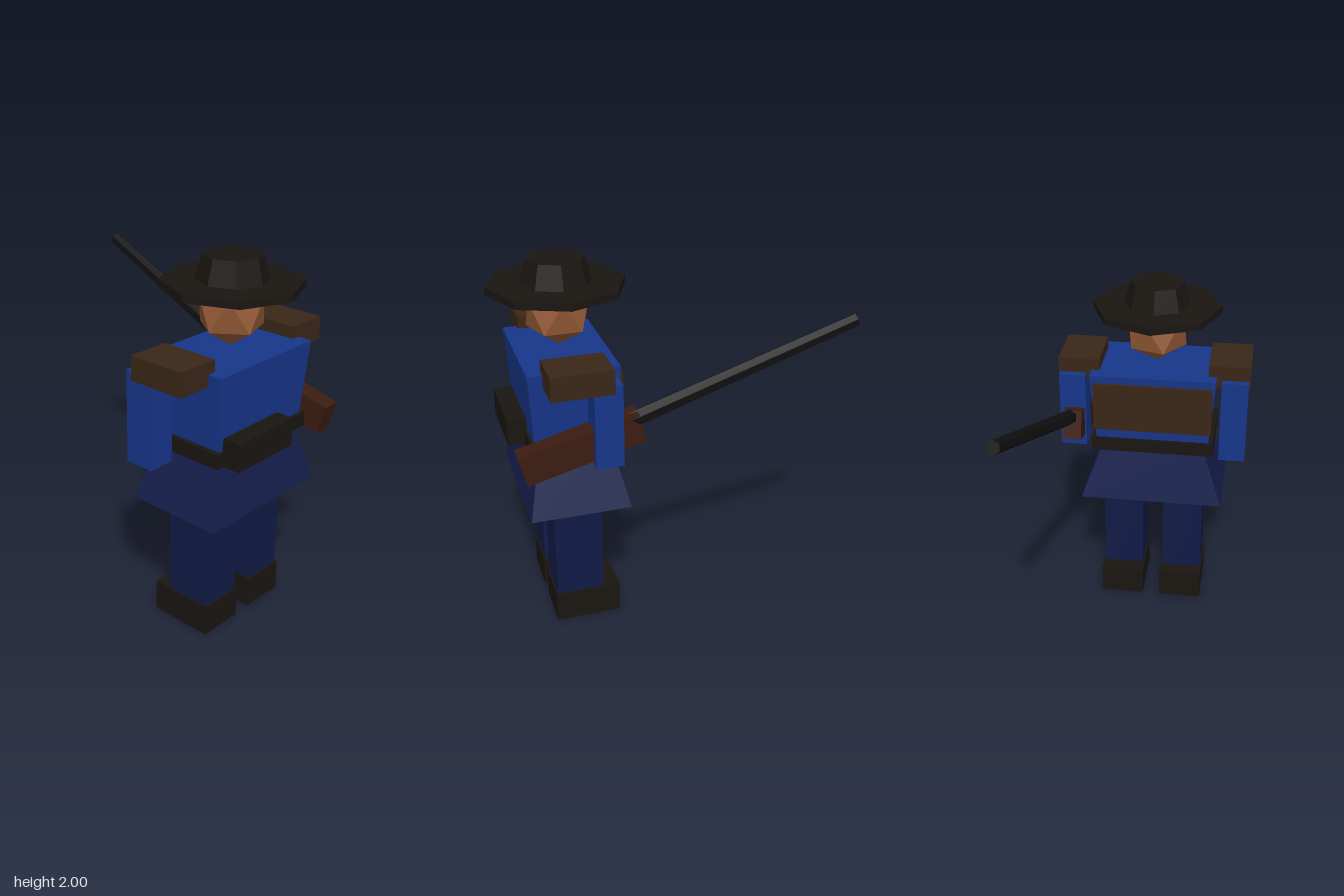
import * as THREE from 'three';

const CX = -0.035, CZ = 0.53; // body axis

const mat = (color) => new THREE.MeshStandardMaterial({ color, flatShading: true });
const coat = mat(0x17368a), skirtCloth = mat(0x151e4c), trousers = mat(0x111b46);
const leather = mat(0x1a1511), brown = mat(0x3a2617), wood = mat(0x3c1c11);
const iron = mat(0x101010), skin = mat(0x955b37);

export function createModel() {
  const model = new THREE.Group();
  model.name = 'hatSoldier';

  const add = (name, geometry, material, x, y, z) => {
    const mesh = new THREE.Mesh(geometry, material);
    mesh.name = name;
    mesh.position.set(x, y, z);
    model.add(mesh);
    return mesh;
  };

  // Box given by its limits on each axis
  const block = (name, material, [x0, x1], [y0, y1], [z0, z1]) =>
    add(name, new THREE.BoxGeometry(x1 - x0, y1 - y0, z1 - z0), material,
      (x0 + x1) / 2, (y0 + y1) / 2, (z0 + z1) / 2);

  // Box on the body axis whose top and bottom have different half sizes
  const tapered = (name, material, y0, y1, [bx, bz], [tx, tz]) => {
    const g = new THREE.BoxGeometry(2, y1 - y0, 2);
    const p = g.attributes.position;
    for (let i = 0; i < p.count; i++) {
      const top = p.getY(i) > 0;
      p.setX(i, p.getX(i) * (top ? tx : bx));
      p.setZ(i, p.getZ(i) * (top ? tz : bz));
    }
    g.computeVertexNormals();
    return add(name, g, material, CX, (y0 + y1) / 2, CZ);
  };

  // Boots, legs and shoulder pads, mirrored about the body axis
  for (const [side, s] of [['left', 1], ['right', -1]]) {
    const span = (a, b) => [CX + s * a, CX + s * b].sort((m, n) => m - n);
    block(side + 'Boot', leather, span(0.052, 0.308), [0.002, 0.175], [0.31, 0.67]);
    block(side + 'Leg', trousers, span(0.063, 0.298), [0, 0.78], [0.4, 0.66]);
    block(side + 'ShoulderPad', brown, span(0.308, 0.543), [1.457, 1.585], [0.37, 0.69]);
  }

  // Arms
  block('leftArm', coat, [0.35, 0.5], [1.055, 1.5], [0.33, 0.475]);
  block('rightArm', coat, [-0.57, -0.42], [1.01, 1.5], [0.33, 0.49]);

  // Coat, belt, pouch and back panel
  tapered('coatSkirt', skirtCloth, 0.73, 1.08, [0.415, 0.268], [0.288, 0.188]);
  tapered('torso', coat, 1.06, 1.52, [0.32, 0.21], [0.355, 0.238]);
  block('belt', leather, [-0.388, 0.317], [1.042, 1.122], [0.302, 0.76]);
  block('pouch', leather, [-0.335, 0.087], [1.04, 1.19], [0.72, 0.85]);
  block('backPack', brown, [-0.373, 0.298], [1.193, 1.475], [0.277, 0.4]);

  // Head with one corner pointing straight down
  const head = add('head', new THREE.IcosahedronGeometry(0.187, 0), skin, CX, 1.72, CZ);
  head.rotation.z = -Math.atan(2 / (1 + Math.sqrt(5)));

  // Hat
  add('hatBrim', new THREE.CylinderGeometry(0.363, 0.363, 0.04, 8), leather, CX, 1.855, CZ);
  add('hatCrown', new THREE.CylinderGeometry(0.152, 0.188, 0.13, 8), leather, CX, 1.935, CZ);

  // Musket: tilted stock and a slightly tapered barrel
  const stock = add('musketStock', new THREE.BoxGeometry(0.105, 0.166, 0.637), wood, 0.412, 1.157, 0.53);
  stock.rotation.x = 0.255;

  const breech = new THREE.Vector3(0.402, 1.18, 0.49);
  const muzzle = new THREE.Vector3(0.543, 1.715, -0.876);
  const along = muzzle.clone().sub(breech);
  const barrel = add('musketBarrel', new THREE.CylinderGeometry(0.036, 0.046, along.length(), 6), iron, 0, 0, 0);
  barrel.position.copy(breech).lerp(muzzle, 0.5);
  barrel.quaternion.setFromUnitVectors(new THREE.Vector3(0, 1, 0), along.normalize());

  return model;
}
